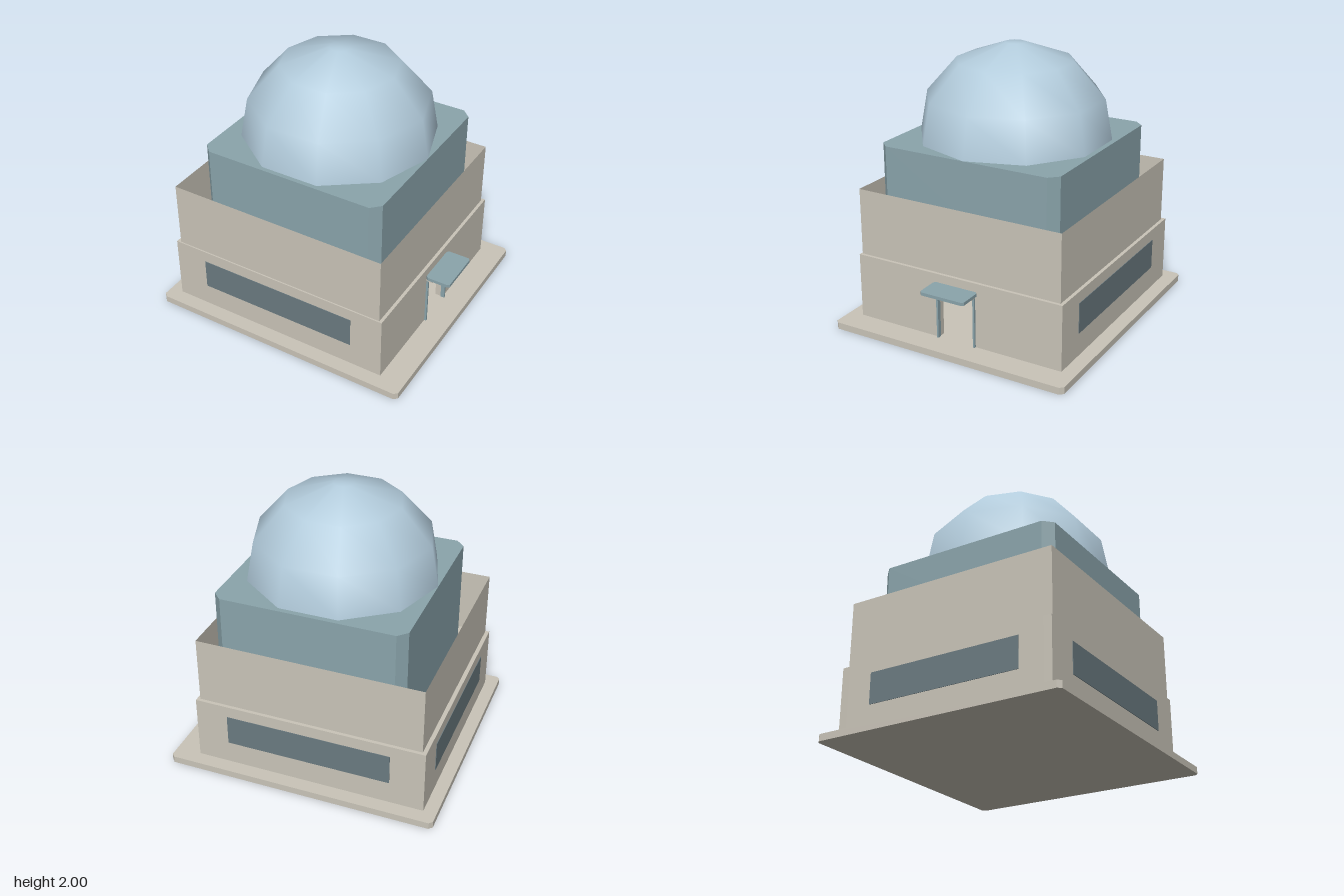
import * as THREE from 'three';

const mat = (name, color, extra = {}) => {
  const m = new THREE.MeshStandardMaterial({ color, ...extra });
  m.name = name;
  return m;
};

export function createModel() {
  const model = new THREE.Group();
  const stone = mat('stone', 0xc9c4b8);
  const stoneSheet = mat('stone', 0xc9c4b8);
  stoneSheet.side = THREE.DoubleSide;
  const teal = mat('teal', 0x8aa4ab);
  const glass = mat('window grey', 0x6a7a80);
  const domeBlue = mat('dome blue', 0xb2cbdb);

  const add = (name, geometry, material) => {
    const mesh = new THREE.Mesh(geometry, material);
    mesh.name = name;
    model.add(mesh);
    return mesh;
  };

  // Box given by its limits on each axis
  const box = (name, [x0, x1], [y0, y1], [z0, z1], material) =>
    add(name, new THREE.BoxGeometry(x1 - x0, y1 - y0, z1 - z0)
      .translate((x0 + x1) / 2, (y0 + y1) / 2, (z0 + z1) / 2), material);

  // Box whose four upright edges are cut off at 45 degrees
  const cutBox = (name, [x0, x1], [y0, y1], [z0, z1], c, material) => {
    const points = [
      [x0 + c, -z1], [x1 - c, -z1], [x1, -z1 + c], [x1, -z0 - c],
      [x1 - c, -z0], [x0 + c, -z0], [x0, -z0 - c], [x0, -z1 + c],
    ].map(([x, y]) => new THREE.Vector2(x, y));
    const g = new THREE.ExtrudeGeometry(new THREE.Shape(points), { depth: y1 - y0, bevelEnabled: false });
    return add(name, g.rotateX(-Math.PI / 2).translate(0, y0, 0), material);
  };

  // Ground slab
  cutBox('baseSlab', [-0.995, 0.99], [0, 0.05], [-0.92, 0.915], 0.025, stone);

  // Hollow lower storey
  const t = 0.06, X0 = -0.9, X1 = 0.805, Z0 = -0.815, Z1 = 0.81;
  box('frontWall', [X0, X1], [0.05, 0.53], [Z1 - t, Z1], stone);
  box('backWall', [X0, X1], [0.05, 0.53], [Z0, Z0 + t], stone);
  box('leftSideWall', [X0, X0 + t], [0.05, 0.53], [Z0 + t, Z1 - t], stone);
  box('lowerRoof', [X0 + t, X1 - t], [0.49, 0.53], [Z0 + t, Z1 - t], stone);

  // Wall with the open doorway
  const doorWall = new THREE.Shape([
    [-Z1 + t, 0.05], [-0.145, 0.05], [-0.145, 0.42], [0.145, 0.42],
    [0.145, 0.05], [-Z0 - t, 0.05], [-Z0 - t, 0.53], [-Z1 + t, 0.53],
  ].map(([x, y]) => new THREE.Vector2(x, y)));
  add('doorWall', new THREE.ExtrudeGeometry(doorWall, { depth: t, bevelEnabled: false })
    .rotateY(Math.PI / 2).translate(X1 - t, 0, 0), stone);

  // Upper storey: thin parapet walls, open at the top
  const ux = [-0.87, 0.782], uz = [-0.79, 0.8], uy = [0.53, 1.02];
  const w = ux[1] - ux[0], d = uz[1] - uz[0], h = uy[1] - uy[0];
  const cx = (ux[0] + ux[1]) / 2, cy = (uy[0] + uy[1]) / 2, cz = (uz[0] + uz[1]) / 2;
  for (const s of [-1, 1]) {
    const turn = s > 0 ? 0 : Math.PI;
    add('upperWall', new THREE.PlaneGeometry(w, h).rotateY(turn)
      .translate(cx, cy, cz + s * d / 2), stoneSheet);
    add('upperSideWall', new THREE.PlaneGeometry(d, h).rotateY(turn + Math.PI / 2)
      .translate(cx + s * w / 2, cy, cz), stoneSheet);
  }

  // Window strips on the front, back and blank side
  const wy = [0.22, 0.445], p = 0.004;
  box('frontWindow', [-0.65, 0.565], wy, [Z1, Z1 + p], glass);
  box('backWindow', [-0.65, 0.565], wy, [Z0 - p, Z0], glass);
  box('sideWindow', [X0 - p, X0], wy, [-0.57, 0.575], glass);

  // Doorway trim and canopy
  for (const s of [-1, 1]) {
    const z = [s * 0.14, s * 0.154].sort((a, b) => a - b);
    box('doorPost', [0.79, 0.82], [0.05, 0.42], z, teal);
  }
  box('doorLintel', [0.78, 0.85], [0.42, 0.445], [-0.154, 0.154], stone);
  cutBox('canopy', [0.806, 0.99], [0.445, 0.468], [-0.175, 0.172], 0.015, teal);

  // Drum under the dome
  cutBox('drum', [-0.697, 0.692], [0.53, 1.335], [-0.697, 0.692], 0.065, teal);

  // Ten-sided dome
  const profile = [[0.693, 1.335], [0.64, 1.625], [0.418, 1.878], [0.073, 2], [0, 2]]
    .map(([r, y]) => new THREE.Vector2(r, y));
  add('dome', new THREE.LatheGeometry(profile, 10, Math.PI / 2).translate(-0.002, 0, 0), domeBlue);

  return model;
}
